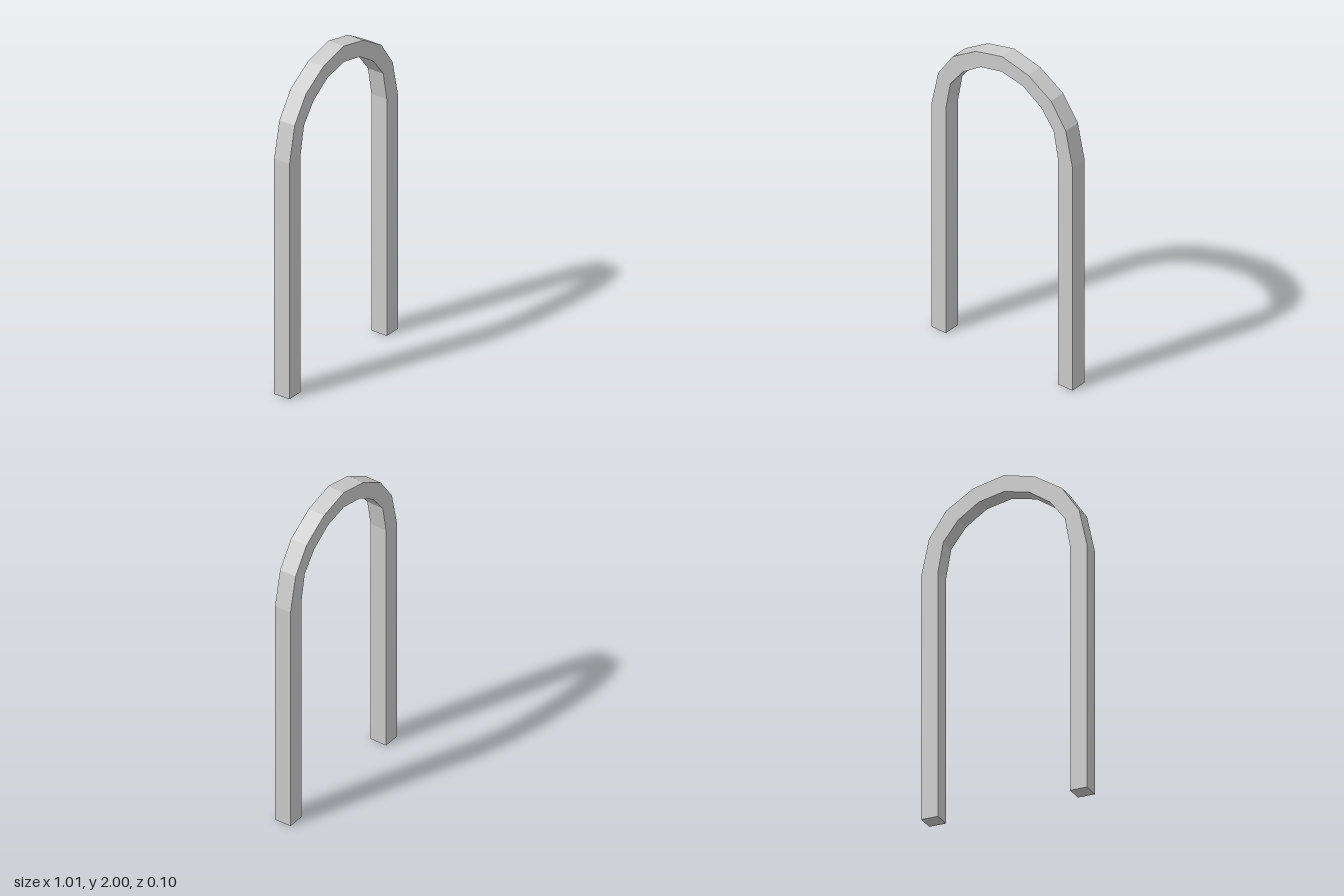
import * as THREE from 'three';

// Half profiles of the arch, from the foot up to the crown
const OUTER = [[0.505, 0], [0.505, 1.48], [0.457, 1.7], [0.352, 1.853], [0.187, 1.956], [0, 2]];
const INNER = [[0.402, 0], [0.402, 1.49], [0.37, 1.664], [0.28, 1.781], [0.152, 1.867], [0, 1.9]];
const DEPTH = 0.105;

// Mirrors a half profile into a full run from the +x foot to the -x foot
function fullRun(half) {
  const mirrored = half.slice(0, -1).reverse().map(([x, y]) => [-x, y]);
  return [...half, ...mirrored].map(([x, y]) => new THREE.Vector2(x, y));
}

export function createModel() {
  const group = new THREE.Group();
  group.name = 'archway';

  // Square-section band: up the outside, back along the inside
  const shape = new THREE.Shape([...fullRun(OUTER), ...fullRun(INNER).reverse()]);
  const geometry = new THREE.ExtrudeGeometry(shape, { depth: DEPTH, bevelEnabled: false });
  geometry.translate(0, 0, -DEPTH / 2);

  const material = new THREE.MeshStandardMaterial({ color: 0xcccccc, flatShading: true });
  const arch = new THREE.Mesh(geometry, material);
  arch.name = 'archFrame';
  group.add(arch);
  return group;
}
